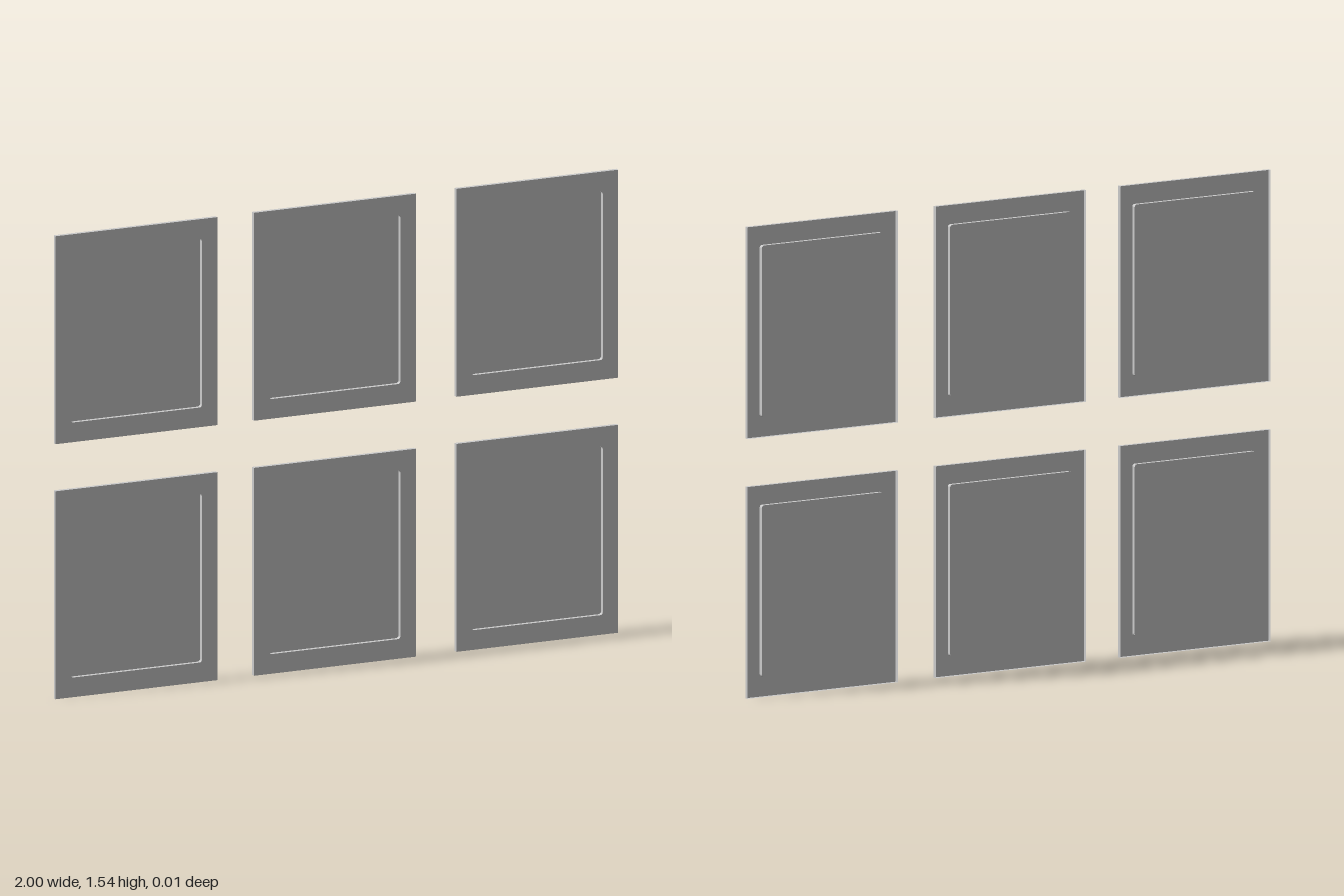
import * as THREE from 'three';

const W = 0.575, H = 0.693, D = 0.007;          // panel width, height, half depth
const IW = 0.465, IH = 0.562, R = 0.008;        // recess size and corner radius

const material = new THREE.MeshStandardMaterial({ color: 0xcccccc, side: THREE.DoubleSide });

// Rectangle outline centred on the origin, with tiny rounded corners when r > 0
function rectPoints(w, h, r) {
  const pts = [], steps = r ? 3 : 0;
  [[1, 1], [-1, 1], [-1, -1], [1, -1]].forEach(([sx, sy], i) => {
    for (let k = 0; k <= steps; k++) {
      const a = (i + (steps ? k / steps : 0)) * Math.PI / 2;
      pts.push(new THREE.Vector2(
        sx * (w / 2 - r) + r * Math.cos(a),
        sy * (h / 2 - r) + r * Math.sin(a)));
    }
  });
  return pts;
}

// Thin wall following an outline from front to back
function wallGeometry(pts) {
  const pos = [];
  pts.forEach((p, i) => {
    const q = pts[(i + 1) % pts.length];
    pos.push(p.x, p.y, -D, q.x, q.y, -D, q.x, q.y, D);
    pos.push(p.x, p.y, -D, q.x, q.y, D, p.x, p.y, D);
  });
  const geo = new THREE.BufferGeometry();
  geo.setAttribute('position', new THREE.Float32BufferAttribute(pos, 3));
  geo.computeVertexNormals();
  return geo;
}

export function createModel() {
  const group = new THREE.Group();
  group.name = 'panelSet';

  const outer = rectPoints(W, H, 0), inner = rectPoints(IW, IH, R);
  const frame = new THREE.Shape(outer);
  frame.holes.push(new THREE.Path(inner));

  // Each panel is a pressed sheet: front frame, turned rim and sunken centre
  const parts = {
    frontFrame: new THREE.ShapeGeometry(frame).translate(0, 0, D),
    outerRim: wallGeometry(outer),
    recessWall: wallGeometry(inner),
    recessedCentre: new THREE.ShapeGeometry(new THREE.Shape(inner)).translate(0, 0, -D),
  };

  // Two rows of three panels
  for (const y of [H / 2, 1.543 - H / 2]) {
    for (const x of [-0.7125, -0.007, 0.7125]) {
      const panel = new THREE.Group();
      panel.name = 'panel';
      for (const [name, geo] of Object.entries(parts)) {
        const mesh = new THREE.Mesh(geo, material);
        mesh.name = name;
        panel.add(mesh);
      }
      panel.position.set(x, y, 0);
      group.add(panel);
    }
  }
  return group;
}
